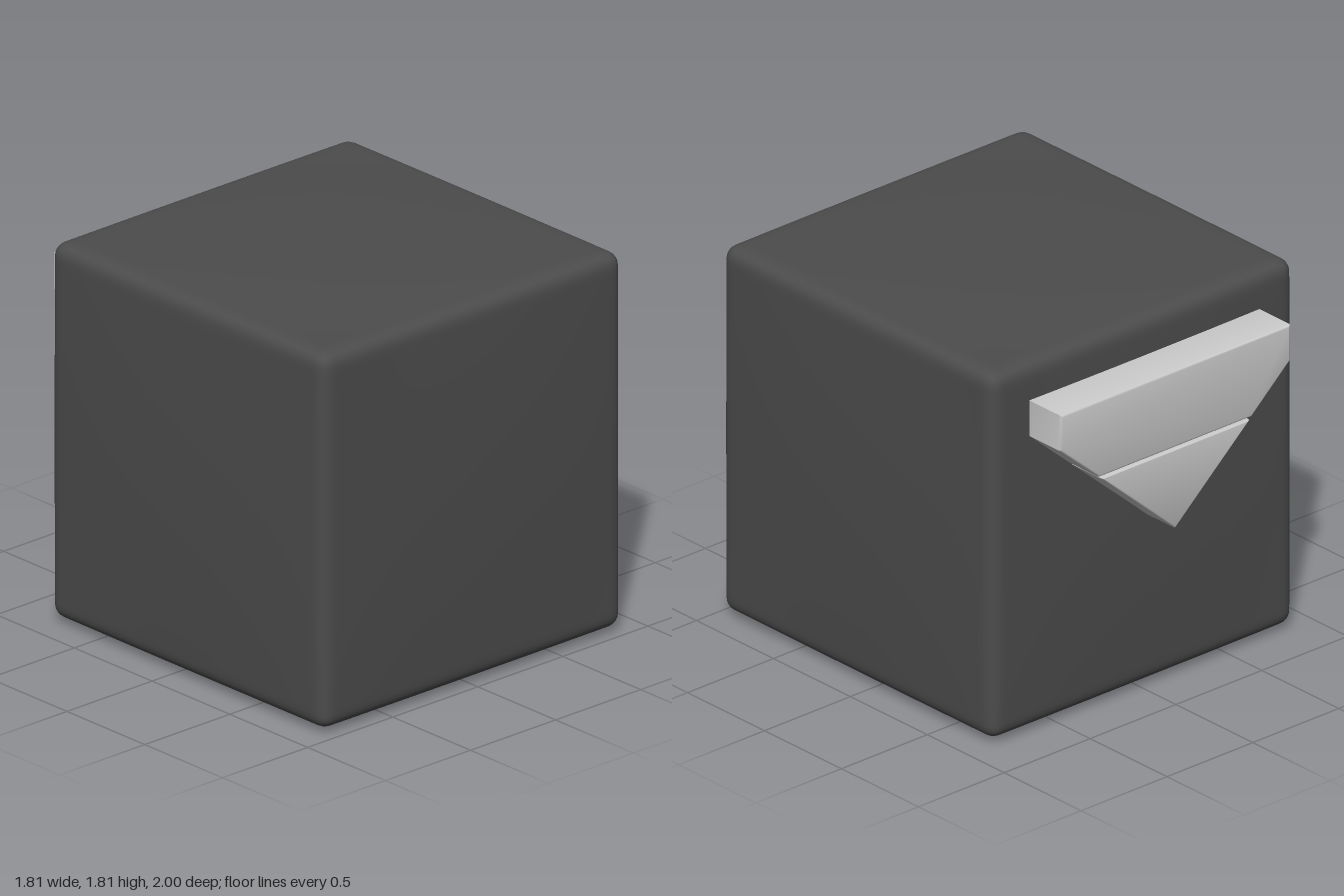
import * as THREE from 'three';
import { mergeVertices, toCreasedNormals } from 'three/addons/utils/BufferGeometryUtils.js';

const dark = new THREE.MeshStandardMaterial({ color: 0x4c4c4c });
const grey = new THREE.MeshStandardMaterial({ color: 0xcccccc });

// Cube with rounded edges whose six faces swell slightly outward
function pillowCube(half, radius, bulge, segments) {
  const geo = new THREE.BoxGeometry(2, 2, 2, segments, segments, segments);
  geo.deleteAttribute('uv');
  geo.deleteAttribute('normal');
  const pos = geo.attributes.position;
  const p = new THREE.Vector3();
  const inner = new THREE.Vector3();
  const core = half - radius;
  for (let i = 0; i < pos.count; i++) {
    // gather the grid lines near the edges, then round them
    p.fromBufferAttribute(pos, i);
    p.set(...p.toArray().map((v) => Math.sin((v * Math.PI) / 2) * half));
    inner.copy(p).clampScalar(-core, core);
    p.sub(inner).setLength(radius).add(inner);
    const [a, b, c] = p.toArray().map((v) => 1 - (v / half) ** 2);
    p.set(p.x * (1 + bulge * b * c), p.y * (1 + bulge * a * c), p.z * (1 + bulge * a * b));
    pos.setXYZ(i, p.x, p.y, p.z);
  }
  const merged = mergeVertices(geo, 1e-5);
  merged.computeVertexNormals();
  return merged;
}

// Flat plate with softened edges, reaching from inside the cube to z = -1
function plate(name, outline) {
  const bevel = 0.012;
  const shape = new THREE.Shape(outline.map(([x, y]) => new THREE.Vector2(x, y)));
  const geo = new THREE.ExtrudeGeometry(shape, {
    depth: 0.226, bevelEnabled: true, bevelSize: bevel, bevelThickness: bevel,
    bevelOffset: -bevel, bevelSegments: 3,
  });
  geo.translate(0, 0, -1 + bevel);
  const mesh = new THREE.Mesh(toCreasedNormals(geo, 0.6), grey);
  mesh.name = name;
  return mesh;
}

export function createModel() {
  const group = new THREE.Group();
  group.name = 'cubeWithBackPlates';

  const body = new THREE.Mesh(pillowCube(0.883, 0.065, 0.027, 40), dark);
  body.name = 'body';
  body.position.set(0, 0.91, 0.092);
  group.add(body);

  // Back emblem: a shield-like outline split by a thin horizontal gap
  const tip = 0.855;
  const slope = 0.885;
  const halfWidth = (y) => (y - tip) / slope;
  const w = 0.67;
  const shoulder = tip + w * slope;
  const top = 1.62;
  const upperBase = 1.248;
  const lowerTop = 1.238;
  group.add(plate('upperPlate', [
    [-halfWidth(upperBase), upperBase], [halfWidth(upperBase), upperBase],
    [w, shoulder], [w, top], [-w, top], [-w, shoulder],
  ]));
  group.add(plate('lowerPlate', [
    [0, tip], [halfWidth(lowerTop), lowerTop], [-halfWidth(lowerTop), lowerTop],
  ]));
  return group;
}
